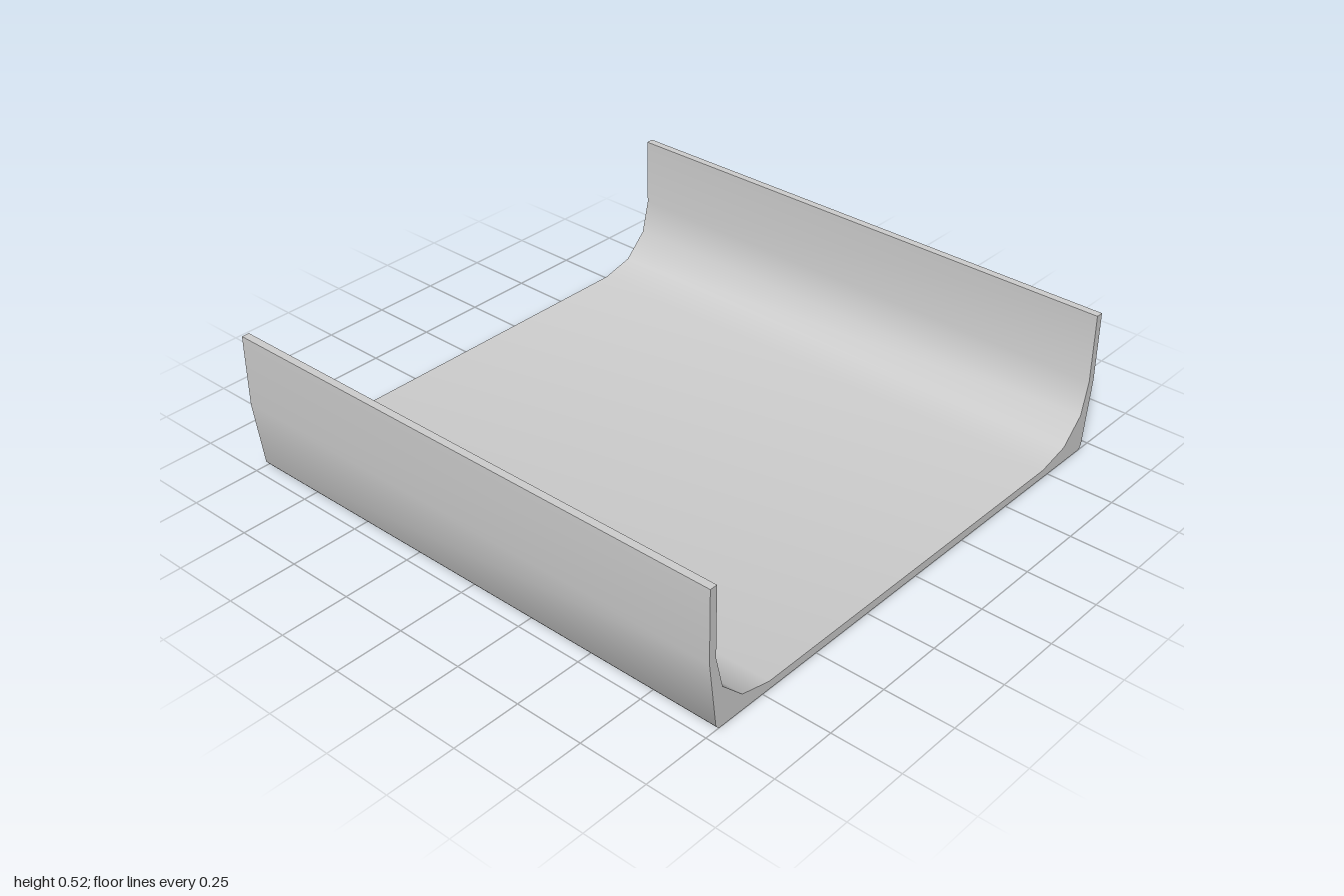
import * as THREE from 'three';
import { toCreasedNormals } from 'three/addons/utils/BufferGeometryUtils.js';

const LENGTH = 2;

export function createModel() {
  const group = new THREE.Group();
  group.name = 'channelTray';
  const grey = new THREE.MeshStandardMaterial({ color: 0xcccccc });
  grey.name = 'light grey';

  // Left half of the cross-section: bottom edge, outer wall, rim, inner wall, fillet
  const half = [
    [0.945, 0], [0.957, 0.015], [0.988, 0.26], [0.988, 0.52],
    [0.96, 0.52], [0.96, 0.265], [0.93, 0.145], [0.842, 0.06], [0.72, 0.03],
  ];
  const mirrored = half.map(([x, y]) => [-x, y]).reverse();
  const profile = new THREE.Shape([...half, ...mirrored].map(([x, y]) => new THREE.Vector2(x, y)));

  // Open-ended channel running front to back
  const solid = new THREE.ExtrudeGeometry(profile, { depth: LENGTH, bevelEnabled: false });
  solid.translate(0, 0, -LENGTH / 2);

  // Smooth inner fillets, sharp rims and bottom edges
  const channel = new THREE.Mesh(toCreasedNormals(solid, THREE.MathUtils.degToRad(34)), grey);
  channel.name = 'channel';
  group.add(channel);
  return group;
}
